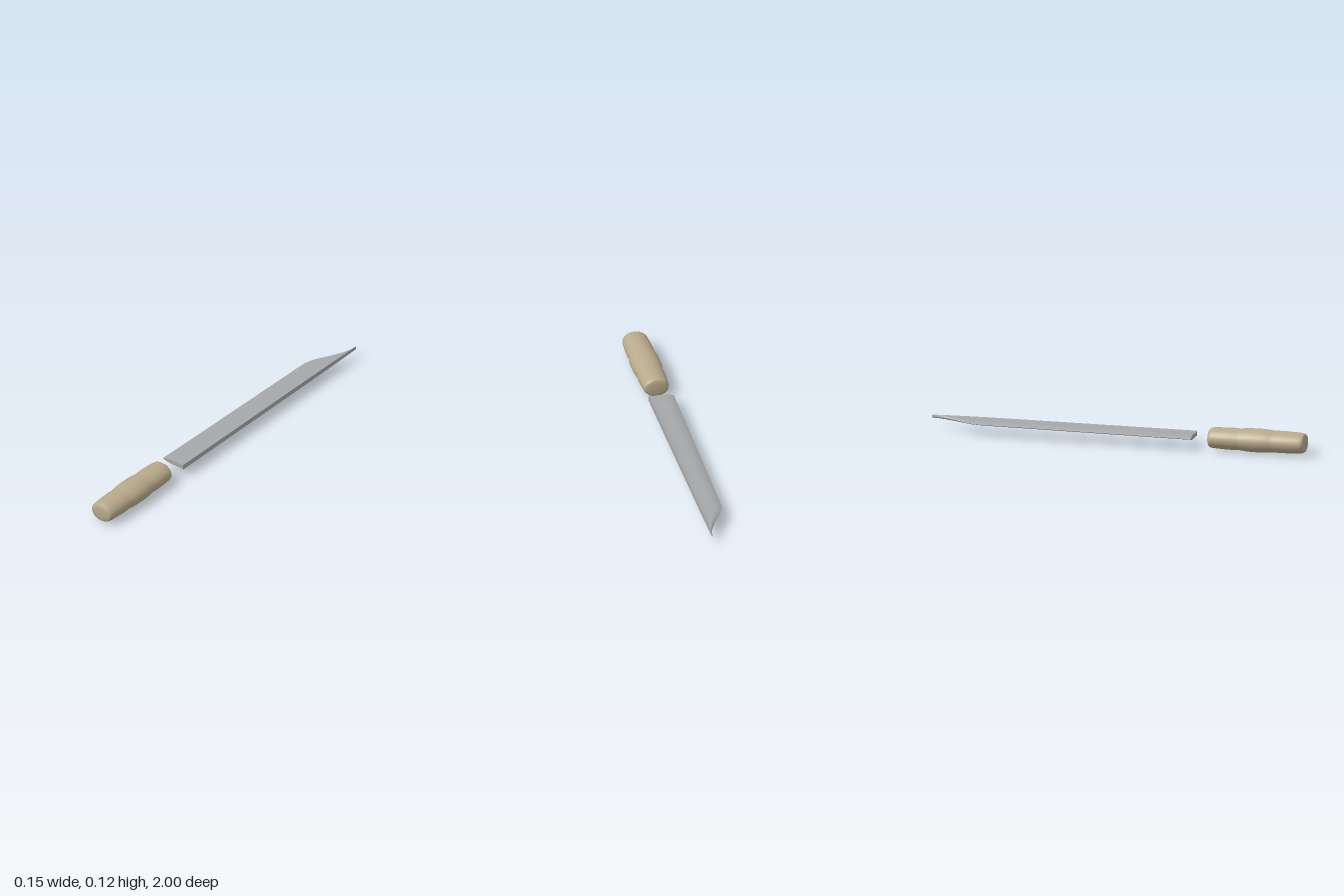
import * as THREE from 'three';
import { toCreasedNormals } from 'three/addons/utils/BufferGeometryUtils.js';

const MID_Y = 0.062;
const SPINE_X = 0.065;

// Blade: one cross-section swept from the butt to the tip
function bladeGeometry() {
  // [fraction from spine to cutting edge, half thickness]
  const section = [[0, 0.0135], [0.1, 0.0115], [0.22, 0.0105], [0.36, 0.011], [0.52, 0.012],
    [0.68, 0.0115], [0.82, 0.0085], [0.93, 0.004], [1, 0]];
  // [z, x of cutting edge, thickness scale]
  const stations = [[0.405, -0.069, 1], [0, -0.062, 1], [-0.4, -0.056, 0.97], [-0.68, -0.052, 0.93],
    [-0.73, -0.05, 0.91], [-0.77, -0.039, 0.89], [-0.81, -0.019, 0.86], [-0.85, 0.004, 0.82],
    [-0.89, 0.026, 0.77], [-0.93, 0.045, 0.71], [-0.965, 0.058, 0.66], [-1, 0.063, 0.62]];
  const m = section.length - 1;
  const n = 2 * m + 1;
  const position = [];
  const index = [];
  for (const [z, edgeX, scale] of stations) {
    for (let j = 0; j < n; j++) {
      const [t, h] = section[j <= m ? j : 2 * m - j];
      const x = SPINE_X + (edgeX - SPINE_X) * t;
      position.push(x, MID_Y + (j <= m ? h : -h) * scale, z);
    }
  }
  for (let i = 0; i < stations.length - 1; i++) {
    for (let j = 0; j < n; j++) {
      const a = i * n + j;
      const b = i * n + ((j + 1) % n);
      index.push(a, a + n, b, b, a + n, b + n);
    }
  }
  // End caps, joining top and bottom points
  const last = (stations.length - 1) * n;
  for (let k = 0; k < m; k++) {
    const a = k, b = k + 1, c = 2 * m - k - 1, d = 2 * m - k;
    index.push(a, b, d);
    index.push(last + a, last + d, last + b);
    if (b !== c) {
      index.push(b, c, d);
      index.push(last + b, last + d, last + c);
    }
  }
  const geometry = new THREE.BufferGeometry();
  geometry.setAttribute('position', new THREE.Float32BufferAttribute(position, 3));
  geometry.setIndex(index);
  return toCreasedNormals(geometry, 0.6);
}

// Handle: turned grip with a swollen middle, flattened to an oval
function handleGeometry() {
  const profile = [[0, 0.487], [0.035, 0.488], [0.056, 0.491], [0.063, 0.497], [0.067, 0.51],
    [0.069, 0.54], [0.0715, 0.59], [0.0715, 0.62], [0.07, 0.645], [0.071, 0.66], [0.0745, 0.68],
    [0.0765, 0.71], [0.077, 0.74], [0.0765, 0.775], [0.0745, 0.8], [0.071, 0.82], [0.07, 0.835],
    [0.0715, 0.86], [0.071, 0.9], [0.069, 0.945], [0.067, 0.975], [0.063, 0.989], [0.056, 0.996],
    [0.035, 0.999], [0, 1]];
  const geometry = new THREE.LatheGeometry(profile.map(([r, y]) => new THREE.Vector2(r, y)), 40);
  geometry.rotateX(Math.PI / 2);
  geometry.scale(1, 0.78, 1);
  geometry.translate(0, MID_Y, 0);
  return geometry;
}

export function createModel() {
  const steel = new THREE.MeshStandardMaterial({ color: 0xa5a7a9 });
  steel.name = 'steel';
  const wood = new THREE.MeshStandardMaterial({ color: 0xb8a98a });
  wood.name = 'wood';

  const group = new THREE.Group();
  group.name = 'machete';
  const blade = new THREE.Mesh(bladeGeometry(), steel);
  blade.name = 'blade';
  const handle = new THREE.Mesh(handleGeometry(), wood);
  handle.name = 'handle';
  group.add(blade, handle);
  return group;
}
